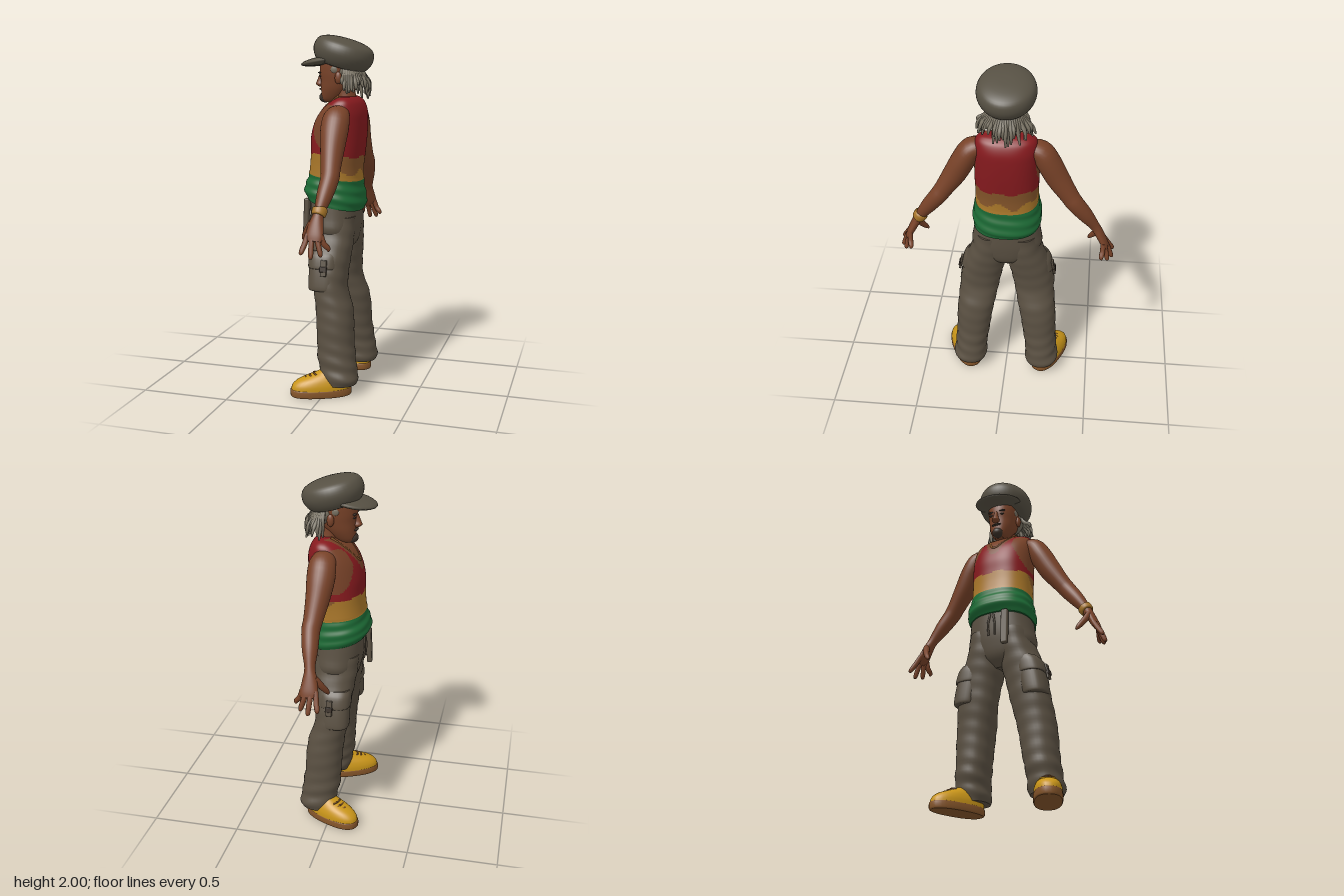
import * as THREE from 'three';
import { RoundedBoxGeometry } from 'three/addons/geometries/RoundedBoxGeometry.js';

const material = (name, color) => Object.assign(new THREE.MeshStandardMaterial({ color }), { name });
const M = {
  skin: material('brown skin', 0x784228), red: material('red cloth', 0x861a1e),
  mustard: material('mustard cloth', 0xa87629), tan: material('tan brown', 0x85552a),
  green: material('green cloth', 0x1c6a35), trousers: material('khaki grey cloth', 0x5a5042),
  cap: material('grey felt', 0x565043), hair: material('grey hair', 0x777061),
  shoe: material('yellow leather', 0xc99519), dark: material('dark trim', 0x3a3028),
};

function seeded(seed) {
  return () => (seed = (seed * 16807) % 2147483647) / 2147483647;
}

// Catmull-Rom through rows of numbers
function refine(rows, sub) {
  const out = [], last = rows.length - 1;
  for (let i = 0; i < last; i++) {
    const [a, b, c, d] = [Math.max(i - 1, 0), i, i + 1, Math.min(i + 2, last)].map(k => rows[k]);
    for (let s = 0; s < sub; s++) {
      const t = s / sub;
      out.push(b.map((q, k) => q + 0.5 * t * (c[k] - a[k] + t * (2 * a[k] - 5 * q + 4 * c[k] - d[k]
        + t * (3 * (q - c[k]) + d[k] - a[k])))));
    }
  }
  out.push(rows[last]);
  return out;
}

// Skin over rows of [x, y, z, radius along x, other radius]; flat keeps every ring level
function loft(rows, { seg = 24, sub = 4, pow = 2, flat = false, ripple, warp, paint } = {}) {
  const R = refine(rows, sub), n = R.length, pos = [], buckets = [];
  const centre = R.map(r => new THREE.Vector3(r[0], r[1], r[2]));
  const bend = q => Math.sign(q) * Math.abs(q) ** (2 / pow);
  R.forEach((r, i) => {
    const T = flat ? new THREE.Vector3(0, 1, 0)
      : centre[Math.min(i + 1, n - 1)].clone().sub(centre[Math.max(i - 1, 0)]).normalize();
    const A = new THREE.Vector3(1, 0, 0).addScaledVector(T, -T.x).normalize();
    const B = T.clone().cross(A);
    for (let j = 0; j < seg; j++) {
      const a = j / seg * Math.PI * 2, k = ripple ? 1 + ripple(a, r[1]) : 1;
      const p = centre[i].clone().addScaledVector(A, bend(Math.cos(a)) * r[3] * k)
        .addScaledVector(B, bend(Math.sin(a)) * r[4] * k);
      pos.push(p.x, p.y, p.z);
    }
  });
  const point = k => new THREE.Vector3().fromArray(pos, k * 3);
  const put = (m, ...corners) => (buckets[m] ||= []).push(...corners);
  for (let i = 0; i < n - 1; i++) for (let j = 0; j < seg; j++) {
    const a = i * seg + j, b = i * seg + (j + 1) % seg;
    const m = paint ? paint(point(a).lerp(point(b + seg), 0.5)) : 0;
    put(m, a, b, a + seg, b, b + seg, a + seg);
  }
  for (const [i, top] of [[0, false], [n - 1, true]]) {
    const base = pos.length / 3, m = paint ? paint(centre[i]) : 0;
    pos.push(...pos.slice(i * seg * 3, (i + 1) * seg * 3), ...centre[i].toArray());
    for (let j = 0; j < seg; j++) {
      const a = base + j, b = base + (j + 1) % seg;
      top ? put(m, a, b, base + seg) : put(m, b, a, base + seg);
    }
  }
  const g = new THREE.BufferGeometry();
  g.setAttribute('position', new THREE.Float32BufferAttribute(pos, 3));
  if (warp) {
    const P = g.attributes.position;
    for (let i = 0; i < P.count; i++) P.setXYZ(i, ...warp(P.getX(i), P.getY(i), P.getZ(i)));
  }
  g.setIndex(buckets.flat());
  let start = 0;
  if (paint) buckets.forEach((list, m) => { g.addGroup(start, list.length, m); start += list.length; });
  g.computeVertexNormals();
  return g;
}

export function createModel() {
  const model = new THREE.Group();
  const add = (name, geometry, mat, parent = model) => {
    const mesh = new THREE.Mesh(geometry, mat);
    mesh.name = name;
    parent.add(mesh);
    return mesh;
  };
  const blob = (name, mat, p, s) => {
    const m = add(name, new THREE.SphereGeometry(1, 24, 16), mat);
    m.position.set(...p);
    m.scale.set(...s);
    return m;
  };
  const box = (name, mat, p, size, r = 0.008, parent = model) => {
    const m = add(name, new RoundedBoxGeometry(...size, 2, r), mat, parent);
    m.position.set(...p);
    return m;
  };
  const cord = (name, mat, pts, r, parent) => add(name, new THREE.TubeGeometry(
    new THREE.CatmullRomCurve3(pts.map(p => new THREE.Vector3(...p))), 24, r, 6), mat, parent);

  // Torso: rows of [y, front x, back x, half width], coloured by band, neckline and armholes
  const torso = [[1.06, -.155, .15, .187], [1.10, -.18, .162, .195], [1.15, -.172, .155, .19],
    [1.20, -.155, .145, .18], [1.28, -.145, .143, .176], [1.36, -.142, .153, .178],
    [1.44, -.14, .162, .178], [1.52, -.12, .166, .178], [1.58, -.085, .163, .175],
    [1.63, -.035, .145, .163], [1.655, .005, .12, .138], [1.665, .03, .1, .1]]
    .map(([y, f, b, w]) => [(f + b) / 2, y, 0, (b - f) / 2, w]);
  const shirtColour = ({ x, y, z }) => {
    const w = Math.abs(z);
    if (x < .06 && y > 1.48 && w < .02 + .5 * (y - 1.48)) return 0;
    if (w > .1 && ((x + .005) / .095) ** 2 + ((y - 1.5) / .125) ** 2 < 1) return 0;
    if (y > 1.345 + .008 * Math.sin(45 * z)) return 1;
    if (y < 1.215) return 4;
    const patch = y - 1.29 + .02 * Math.sin(38 * z + 25 * x) + .5 * Math.min(x - .06, .06);
    return patch > 0 ? 3 : 2;
  };
  add('torso and vest', loft(torso, {
    seg: 96, sub: 8, pow: 2.4, flat: true, paint: shirtColour,
    ripple: (a, y) => y < 1.22 ? .014 * Math.sin(y * 110 + 2 * Math.sin(a)) : 0,
    warp: (x, y, z) => [x, y - x * .2 * THREE.MathUtils.clamp((1.5 - y) / .4, 0, 1), z],
  }), [M.skin, M.red, M.mustard, M.tan, M.green]);
  cord('necklace', M.tan, [[.03, 1.67, .075], [-.05, 1.61, .06], [-.118, 1.53, 0],
    [-.05, 1.61, -.06], [.03, 1.67, -.075]], .007);

  // Head
  add('neck', loft([[.06, 1.6, 0, .065, .07], [.05, 1.67, 0, .055, .056], [.03, 1.78, 0, .055, .056]],
    { flat: true }), M.skin);
  add('head', loft([[-.045, 1.632, 0, .025, .025], [-.035, 1.65, 0, .055, .045], [-.01, 1.7, 0, .083, .068],
    [.01, 1.75, 0, .104, .079], [.015, 1.8, 0, .115, .085], [.02, 1.86, 0, .11, .085], [.02, 1.9, 0, .07, .05]],
    { flat: true, seg: 32, pow: 2.2 }), M.skin);
  add('nose', loft([[-.095, 1.715, 0, .01, .012], [-.1, 1.73, 0, .026, .023], [-.098, 1.75, 0, .022, .015],
    [-.09, 1.79, 0, .014, .01]], { flat: true, seg: 16 }), M.skin);
  blob('goatee', M.dark, [-.072, 1.657, 0], [.034, .03, .034]);
  blob('moustache', M.dark, [-.093, 1.703, 0], [.012, .006, .03]);
  for (const s of [1, -1]) {
    blob('ear', M.skin, [.03, 1.768, s * .088], [.02, .034, .014]);
    blob('eye', M.dark, [-.089, 1.775, s * .035], [.007, .006, .012]);
    blob('eyebrow', M.dark, [-.091, 1.795, s * .036], [.01, .005, .021]);
    blob('sideburn', M.hair, [.005, 1.815, s * .08], [.022, .022, .01]);
  }

  // Hair and dreadlocks
  blob('hair', M.hair, [.075, 1.8, 0], [.075, .08, .098]);
  const rand = seeded(77);
  const locks = new THREE.Group();
  locks.name = 'dreadlocks';
  model.add(locks);
  for (let i = 0; i < 30; i++) {
    const a = (i / 29 - .5) * 3.1, c = Math.cos(a), s = Math.sin(a);
    const flare = .025 + rand() * .035, end = 1.65 + rand() * .07 + .02 * Math.abs(s);
    const at = (r, y) => [.065 + c * (.07 + r * .9), y, s * (.09 + r)];
    add('dreadlock', loft([[...at(-.02, 1.84), .011, .011], [...at(.02, 1.78), .012, .012],
      [...at(flare, (1.78 + end) / 2), .011, .011], [...at(flare + rand() * .03 - .01, end), .005, .005]],
      { seg: 7 }), M.hair, locks);
  }

  // Cap
  const crown = add('cap crown', new THREE.LatheGeometry(new THREE.SplineCurve(
    [[0, -.076], [.11, -.076], [.15, -.056], [.172, -.005], [.16, .045], [.12, .069], [.06, .08], [0, .082]]
      .map(p => new THREE.Vector2(...p))).getPoints(28), 40), M.cap);
  crown.position.set(.035, 1.902, 0);
  crown.rotation.z = -.28;
  crown.scale.z = .92;
  blob('cap brim', M.cap, [-.07, 1.862, 0], [.14, .026, .136]).rotation.z = .18;

  // Trousers
  add('trouser hips', loft([[.003, .79, 0, .06, .05], [.003, .84, 0, .11, .14], [0, .92, 0, .13, .2],
    [-.004, 1.0, 0, .138, .192], [-.008, 1.12, 0, .14, .178]], { flat: true, seg: 40, pow: 2.3 }), M.trousers);
  const leg = [[.078, .065, .22, .095, .09], [.078, .1, .22, .106, .1], [.07, .15, .216, .104, .095],
    [.06, .2, .212, .108, .096], [.05, .3, .2, .105, .1], [.045, .4, .192, .105, .106],
    [.034, .5, .178, .103, .111], [.01, .6, .163, .094, .116], [.005, .7, .146, .1, .119],
    [.003, .8, .122, .113, .118], [0, .9, .1, .125, .1], [-.003, 1.0, .09, .13, .09]];
  for (const s of [1, -1]) {
    const side = s > 0 ? 'left' : 'right';
    const flip = rows => rows.map(([x, y, z, a, b]) => [x, y, s * z, a, b]);
    add(`${side} trouser leg`, loft(flip(leg), {
      flat: true, seg: 36, sub: 6, pow: 2.2,
      ripple: (a, y) => (y < .3 ? .025 : .012) * Math.sin(y * 75 + 2.5 * Math.sin(a * s + 1)),
    }), M.trousers);

    // Cargo pocket wrapped over the outer thigh
    const pocket = new THREE.Group();
    pocket.name = `${side} cargo pocket`;
    model.add(pocket);
    const wrap = { flat: true, seg: 32, pow: 2.6 };
    add('pocket bag', loft(flip([[-.02, .6, .21, .074, .062], [-.02, .615, .21, .082, .072],
      [-.02, .7, .196, .083, .073], [-.02, .79, .18, .08, .066]]), wrap), M.trousers, pocket);
    add('pocket flap', loft(flip([[-.02, .725, .193, .084, .074], [-.02, .735, .191, .088, .08],
      [-.02, .79, .181, .087, .074], [-.02, .82, .17, .08, .062]]), wrap), M.trousers, pocket);
    box('pocket strap', M.trousers, [0, .735, s * .273], [.035, .09, .014], .004, pocket).rotation.x = -.17 * s;
    box('pocket buckle', M.dark, [0, .73, s * .281], [.042, .03, .012], .004, pocket).rotation.x = -.17 * s;

    // Shoe
    const shoe = new THREE.Group();
    shoe.name = `${side} shoe`;
    shoe.position.set(-.018, 0, s * .267);
    shoe.rotation.y = s * .43;
    model.add(shoe);
    add('sole', loft([[0, 0, 0, .166, .073], [0, .008, 0, .173, .078], [0, .036, 0, .173, .078], [0, .042, 0, .168, .075]],
      { flat: true, seg: 36, sub: 2, pow: 2.4 }), M.tan, shoe);
    add('upper', loft([[0, .036, 0, .169, .076], [.004, .065, 0, .165, .075], [.016, .092, 0, .146, .068],
      [.04, .114, 0, .116, .058], [.06, .13, 0, .09, .05], [.07, .145, 0, .07, .045]],
      { flat: true, seg: 36, pow: 2.3 }), M.shoe, shoe);
    for (let i = 0; i < 3; i++) {
      const x = -.086 + i * .022, y = .108 + i * .012;
      cord('lace', M.tan, [[x + .012, y - .008, -.032], [x, y, 0], [x + .012, y - .008, .032]], .005, shoe);
    }

    // Arm, palm and fingers
    const arm = [[.05, 1.585, .11, .05, .04], [.05, 1.56, .185, .073, .06], [.05, 1.495, .228, .077, .066],
      [.055, 1.4, .28, .066, .064], [.065, 1.3, .345, .053, .052], [.07, 1.25, .38, .05, .049],
      [.06, 1.17, .44, .043, .042], [.048, 1.09, .495, .029, .028], [.042, 1.04, .522, .039, .025],
      [.04, .98, .552, .049, .021], [.04, .95, .568, .043, .014]];
    add(`${side} arm`, loft(flip(arm), { seg: 28 }), M.skin);
    [[.003, -.015, .885, .608], [.028, .035, .865, .605], [.054, .08, .875, .582], [.076, .112, .9, .548]]
      .forEach(([x0, x1, y1, z1]) => add(`${side} finger`, loft(flip([[x0, .985, .55, .014, .014],
        [x0 * .6 + x1 * .4, .94, .55 + (z1 - .55) * .45, .015, .015], [x1, y1 + .014, z1 - .005, .013, .013],
        [x1, y1, z1, .005, .005]]), { seg: 10 }), M.skin));
    add(`${side} thumb`, loft(flip([[.02, 1.045, .52, .02, .018], [-.01, 1.0, .505, .019, .018],
      [-.038, .955, .48, .015, .014], [-.045, .935, .465, .006, .006]]), { seg: 10 }), M.skin);
  }

  // Wristband, hanging belt end and drawstrings
  add('wristband', loft([[.05, 1.11, .482, .034, .034], [.05, 1.105, .485, .041, .04], [.047, 1.082, .5, .039, .038],
    [.046, 1.076, .504, .032, .032]], { sub: 3 }), M.mustard);
  box('belt end', M.trousers, [-.158, .985, .085], [.03, .21, .04], .008).rotation.z = -.04;
  for (const s of [1, -1]) cord('drawstring', M.trousers,
    [[-.148, 1.08, s * .01], [-.153, 1.02, s * .02], [-.148, .95, s * .018]], .006);

  return model;
}
